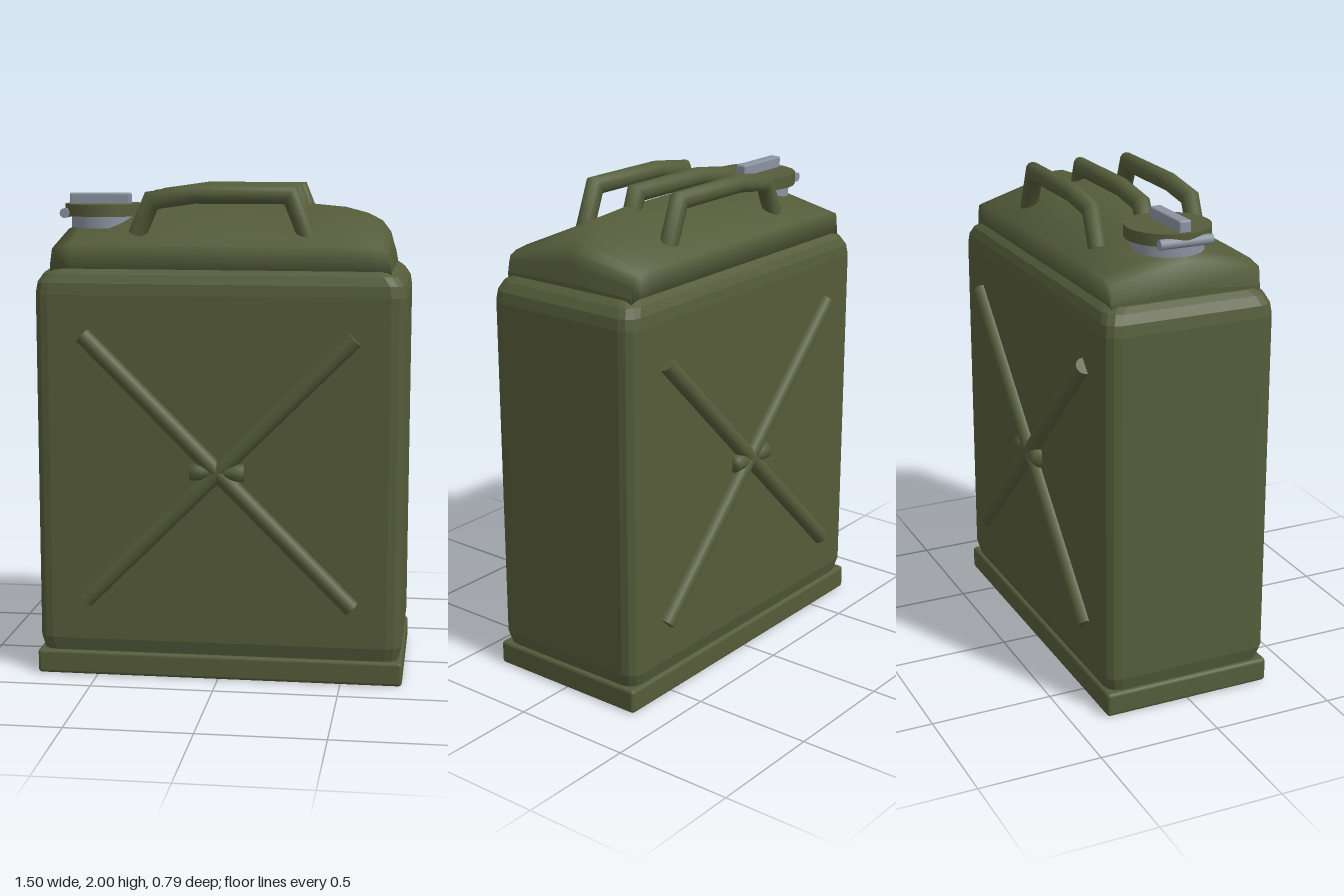
import * as THREE from 'three';
import { RoundedBoxGeometry } from 'three/addons/geometries/RoundedBoxGeometry.js';

const olive = new THREE.MeshStandardMaterial({ color: 0x555c3a });
olive.name = 'olive paint';
const steel = new THREE.MeshStandardMaterial({ color: 0x8b93a0 });
steel.name = 'bare steel';

// Skin over closed rings of points, with flat end caps.
function loft(rings, flat = false) {
  const n = rings[0].length, pos = [], idx = [];
  const push = (p) => pos.push(...p) / 3 - 1;
  rings.forEach((r) => r.forEach(push));
  for (let i = 0; i < rings.length - 1; i++) {
    for (let j = 0; j < n; j++) {
      const k = (j + 1) % n;
      const a = i * n + j, b = i * n + k, c = b + n, d = a + n;
      idx.push(a, b, c, a, c, d);
    }
  }
  [rings[0], rings[rings.length - 1]].forEach((r, end) => {
    const first = r.map(push)[0];
    for (let j = 1; j < n - 1; j++) {
      if (end) idx.push(first, first + j, first + j + 1);
      else idx.push(first, first + j + 1, first + j);
    }
  });
  let g = new THREE.BufferGeometry();
  g.setAttribute('position', new THREE.Float32BufferAttribute(pos, 3));
  g.setIndex(idx);
  if (flat) g = g.toNonIndexed();
  g.computeVertexNormals();
  return g;
}

// Horizontal rectangle with rounded corners.
function roundedRing(hx, hz, r, y) {
  const pts = [], seg = 3;
  for (let q = 0; q < 4; q++) {
    const sx = q === 0 || q === 3 ? 1 : -1, sz = q < 2 ? 1 : -1;
    for (let s = 0; s <= seg; s++) {
      const a = (q + s / seg) * Math.PI / 2;
      pts.push([sx * (hx - r) + r * Math.cos(a), y, -(sz * (hz - r) + r * Math.sin(a))]);
    }
  }
  return pts;
}

// Round bar with mitred bends, following [x, y] points at depth z.
function bentBar(path, z, r) {
  const dirs = path.slice(1).map((p, i) =>
    new THREE.Vector2(p[0] - path[i][0], p[1] - path[i][1]).normalize());
  return loft(path.map((p, i) => {
    const a = dirs[Math.max(i - 1, 0)], b = dirs[Math.min(i, dirs.length - 1)];
    const d = a.clone().add(b).normalize();
    const stretch = r / d.dot(a);
    return Array.from({ length: 14 }, (_, j) => {
      const t = j / 14 * Math.PI * 2, m = Math.cos(t) * stretch;
      return [p[0] - d.y * m, p[1] + d.x * m, z + r * Math.sin(t)];
    });
  }));
}

export function createModel() {
  const model = new THREE.Group();
  model.name = 'fuelCan';
  const add = (name, geo, mat, x = 0, y = 0, z = 0) => {
    const mesh = new THREE.Mesh(geo, mat);
    mesh.name = name;
    mesh.position.set(x, y, z);
    model.add(mesh);
    return mesh;
  };

  // Foot and main tank
  add('base', new RoundedBoxGeometry(1.5, 0.1, 0.712, 2, 0.015), olive, 0, 0.05, 0);
  add('body', loft([
    [0.73, 0.338, 0.06, 0.09], [0.745, 0.355, 0.06, 0.155], [0.745, 0.355, 0.06, 1.57],
    [0.738, 0.35, 0.06, 1.615], [0.715, 0.335, 0.06, 1.65], [0.69, 0.312, 0.06, 1.67],
  ].map(([hx, hz, r, y]) => roundedRing(hx, hz, r, y)), true), olive);

  // Gabled shoulder: x, eave height, ridge height
  add('shoulder', loft([
    [-0.682, 1.68, 1.7], [-0.672, 1.75, 1.81], [-0.6, 1.765, 1.845], [-0.4, 1.77, 1.89],
    [-0.25, 1.77, 1.915], [0, 1.77, 1.923], [0.35, 1.77, 1.92], [0.48, 1.77, 1.908],
    [0.57, 1.768, 1.885], [0.63, 1.76, 1.855], [0.665, 1.745, 1.81], [0.674, 1.72, 1.765],
    [0.682, 1.68, 1.69],
  ].map(([x, eave, ridge]) => [
    [x, 1.64, -0.31], [x, eave, -0.31], [x, ridge, 0], [x, eave, 0.31], [x, 1.64, 0.31],
  ])), olive);

  // Three carrying handles
  for (const z of [-0.212, 0.212]) {
    add('outerHandle', bentBar(
      [[-0.345, 1.8], [-0.285, 1.938], [-0.11, 1.963], [0.275, 1.963], [0.34, 1.8]], z, 0.037), olive);
  }
  add('middleHandle', bentBar(
    [[-0.315, 1.88], [-0.285, 1.938], [-0.11, 1.963], [0.275, 1.963], [0.305, 1.88]], 0, 0.037), olive);

  // Filler neck, cap, grip bar and hinge pin
  add('neck', new THREE.CylinderGeometry(0.14, 0.14, 0.06, 32), steel, -0.515, 1.85, 0);
  add('cap', new THREE.CylinderGeometry(0.167, 0.167, 0.048, 40), olive, -0.515, 1.892, 0);
  add('capGrip', new RoundedBoxGeometry(0.255, 0.06, 0.05, 2, 0.008), steel, -0.535, 1.93, 0);
  add('hingePin', new THREE.CylinderGeometry(0.02, 0.02, 0.22, 16), steel, -0.665, 1.88, 0)
    .rotation.x = Math.PI / 2;

  // Crossed ribs with a pinched knot on both faces
  const knot = [[0, -0.108], [0.036, -0.108], [0.034, -0.06], [0.02, 0], [0.034, 0.06], [0.036, 0.108], [0, 0.108]]
    .map(([r, h]) => new THREE.Vector2(r, h));
  for (const z of [-0.357, 0.357]) {
    for (const s of [-1, 1]) {
      add('crossRib', new THREE.CylinderGeometry(0.035, 0.035, 1.54, 16), olive, 0, 0.865, z)
        .rotation.z = s * Math.PI / 4;
    }
    add('ribKnot', new THREE.LatheGeometry(knot, 16), olive, 0, 0.865, z + Math.sign(z) * 0.004)
      .rotation.z = Math.PI / 2;
  }
  return model;
}
